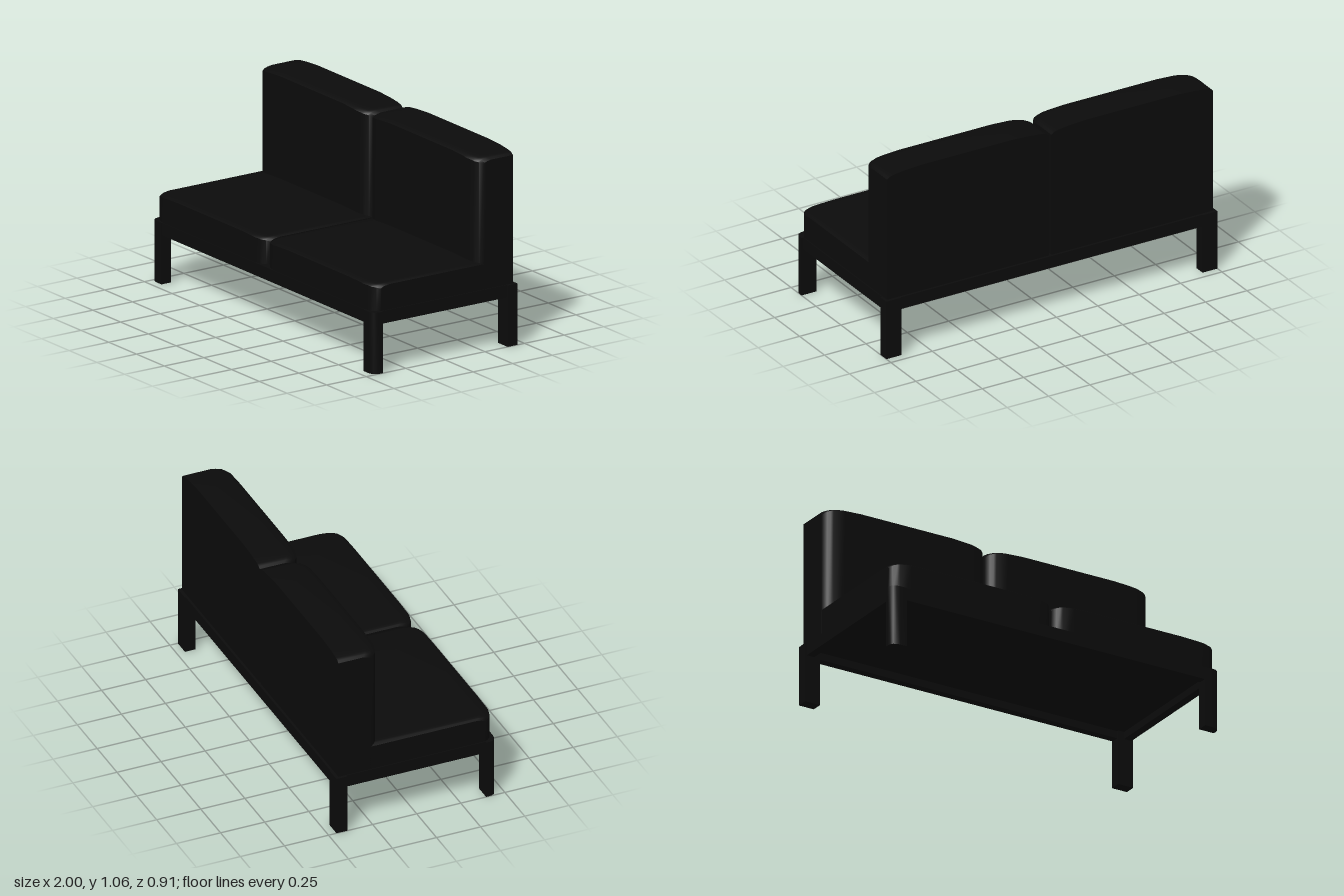
import * as THREE from 'three';
import { toCreasedNormals } from 'three/addons/utils/BufferGeometryUtils.js';

const black = new THREE.MeshStandardMaterial({ color: 0x0b0b0b });

// Linear lookup in a short list of [distance from edge, value] pairs
function lookup(table, d) {
  for (let i = 1; i < table.length; i++) {
    const [d0, v0] = table[i - 1], [d1, v1] = table[i];
    if (d <= d1) return v0 + (v1 - v0) * (d - d0) / (d1 - d0);
  }
  return table[table.length - 1][1];
}

const SIDE_FALL = [[0, 1], [0.015, 0.62], [0.045, 0.4], [0.11, 0.17], [0.21, 0]];
const FRONT_FALL = [[0, 1], [0.012, 0.55], [0.03, 0.25], [0.06, 0]];
const CORNER = [[0, 0.05], [0.012, 0.03], [0.03, 0.013], [0.08, 0]];

const X_STEPS = [0, 0.012, 0.015, 0.03, 0.045, 0.08, 0.11, 0.21];
const Z_STEPS = [0.06, 0.03, 0.012, 0];

// Upholstered block: crowned top, rounded front corners, flat back and base
function cushion(name, [x0, x1], [y0, y1], [z0, z1], sideDrop, frontDrop) {
  const xs = [...X_STEPS.map(s => x0 + s), ...X_STEPS.map(s => x1 - s).reverse()];
  const zs = [z0, ...Z_STEPS.map(s => z1 - s)];
  const nx = xs.length - 1, nz = zs.length - 1;
  const g = new THREE.BoxGeometry(nx, 1, nz, nx, 1, nz);
  const p = g.attributes.position;
  for (let i = 0; i < p.count; i++) {
    const x = xs[Math.round(p.getX(i) + nx / 2)];
    const z = zs[Math.round(p.getZ(i) + nz / 2)];
    const edge = Math.min(x - x0, x1 - x);
    const drop = sideDrop * lookup(SIDE_FALL, edge) + frontDrop * lookup(FRONT_FALL, z1 - z);
    const y = p.getY(i) > 0 ? y1 - drop : y0;
    const pull = lookup(CORNER, edge) * (z - z0) / (z1 - z0);
    p.setXYZ(i, x, y, z - pull);
  }
  const mesh = new THREE.Mesh(toCreasedNormals(g, 0.6), black);
  mesh.name = name;
  return mesh;
}

function box(name, w, h, d, x, y, z) {
  const mesh = new THREE.Mesh(new THREE.BoxGeometry(w, h, d), black);
  mesh.position.set(x, y, z);
  mesh.name = name;
  return mesh;
}

// Front leg with its outer corner rounded off
function frontLeg(side) {
  const s = new THREE.Shape();
  s.moveTo(0.91 * side, -0.394);
  s.lineTo(side, -0.394);
  s.lineTo(side, -0.41);
  s.quadraticCurveTo(side, -0.455, 0.95 * side, -0.455);
  s.lineTo(0.91 * side, -0.455);
  s.closePath();
  const g = new THREE.ExtrudeGeometry(s, { depth: 0.333, bevelEnabled: false, curveSegments: 4 });
  g.rotateX(-Math.PI / 2);
  const mesh = new THREE.Mesh(toCreasedNormals(g, 0.6), black);
  mesh.name = side > 0 ? 'leftFrontLeg' : 'rightFrontLeg';
  return mesh;
}

export function createModel() {
  const sofa = new THREE.Group();
  sofa.name = 'sofa';

  // Base frame: rails around a recessed panel
  const frame = new THREE.Group();
  frame.name = 'frame';
  frame.add(box('frontRail', 1.82, 0.068, 0.045, 0, 0.299, 0.4275));
  frame.add(box('backRail', 1.82, 0.068, 0.045, 0, 0.299, -0.4275));
  frame.add(box('seatPanel', 1.91, 0.025, 0.81, 0, 0.318, 0));

  for (const side of [1, -1]) {
    const label = side > 0 ? 'left' : 'right';
    frame.add(box(label + 'Rail', 0.045, 0.068, 0.788, side * 0.9675, 0.299, 0));

    // Legs
    frame.add(frontLeg(side));
    frame.add(box(label + 'BackLeg', 0.09, 0.333, 0.061, side * 0.955, 0.1665, -0.4245));

    // Seat and back cushions with a narrow gap in the middle
    const span = side > 0 ? [0.008, 0.985] : [-0.985, -0.008];
    sofa.add(cushion(label + 'SeatCushion', span, [0.33, 0.49], [-0.255, 0.447], 0.02, 0.016));
    sofa.add(cushion(label + 'BackCushion', span, [0.33, 1.062], [-0.437, -0.202], 0.033, 0.018));
  }
  sofa.add(frame);
  return sofa;
}
